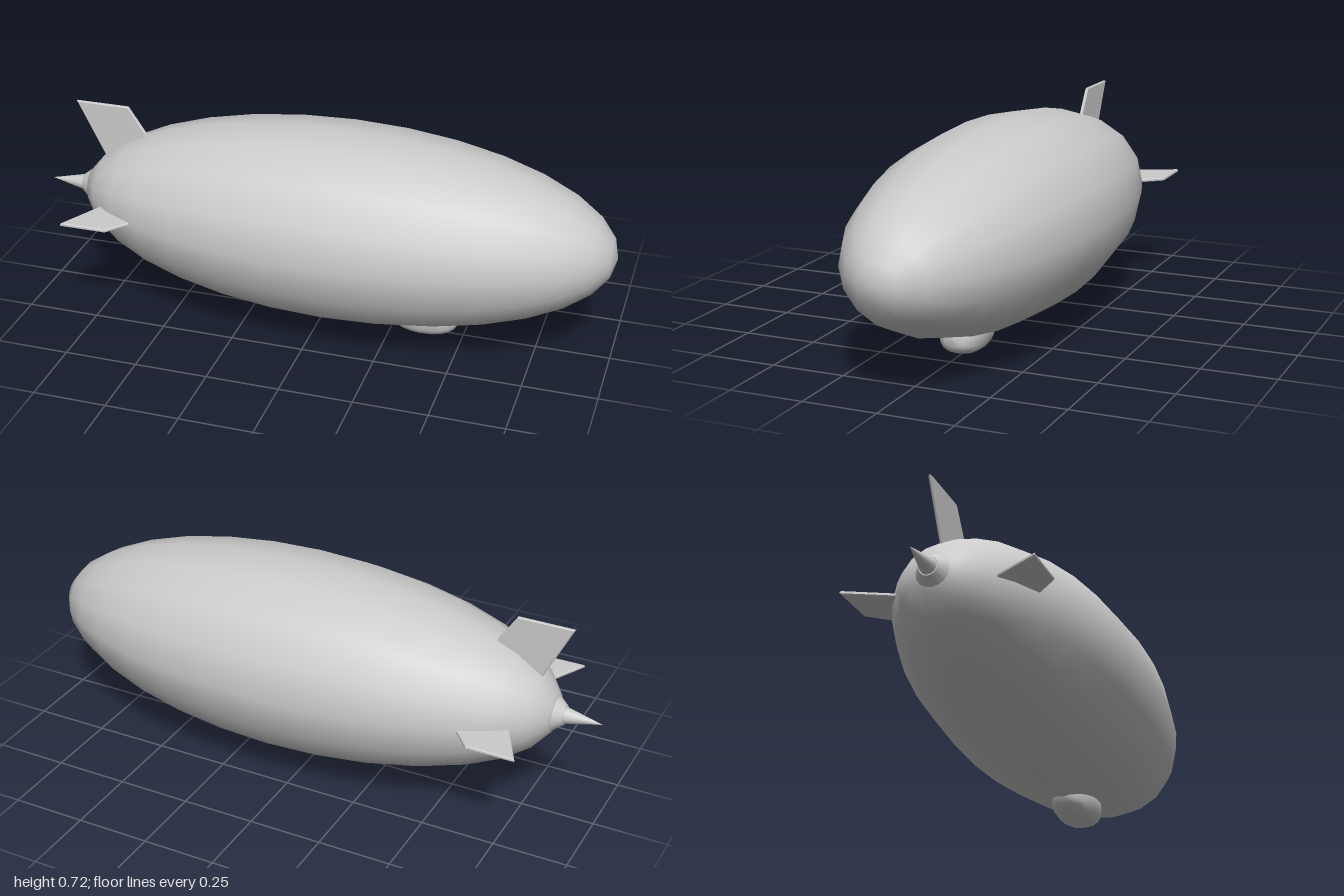
import * as THREE from 'three';

const AXIS_Y = 0.382;

export function createModel() {
  const group = new THREE.Group();
  const smooth = new THREE.MeshStandardMaterial({ color: 0xcccccc });
  const flat = new THREE.MeshStandardMaterial({ color: 0xcccccc, flatShading: true });

  function add(name, geometry, material, x, y) {
    const mesh = new THREE.Mesh(geometry, material);
    mesh.name = name;
    mesh.position.set(x, y, 0);
    group.add(mesh);
    return mesh;
  }

  // Envelope: a 16-sided ellipsoid lying along x, slightly wider than tall
  const hull = new THREE.SphereGeometry(1, 16, 16).rotateZ(-Math.PI / 2);
  hull.scale(0.927, 0.333, 0.37);
  add('envelope', hull, smooth, 0.07, AXIS_Y);

  // Tail cone with a low collar, turned about the x axis
  const collar = new THREE.CylinderGeometry(0.032, 0.056, 0.03, 16).rotateZ(Math.PI / 2);
  add('tailCollar', collar, smooth, -0.861, AXIS_Y);
  const cone = new THREE.ConeGeometry(0.032, 0.14, 16).rotateZ(Math.PI / 2);
  add('tailCone', cone, smooth, -0.93, AXIS_Y);

  // Fins: thin swept plates, outlined as (x, distance from the axis)
  function addFin(name, outline, angle) {
    const shape = new THREE.Shape(outline.map(([x, r]) => new THREE.Vector2(x, r)));
    const plate = new THREE.ExtrudeGeometry(shape, {
      depth: 0.006, bevelEnabled: true, bevelSegments: 1,
      bevelThickness: 0.003, bevelSize: 0.004, bevelOffset: -0.004,
    });
    plate.translate(0, 0, -0.003);
    add(name, plate, flat, 0, AXIS_Y).rotation.x = angle;
  }
  addFin('topFin', [[-0.75, 0.04], [-0.575, 0.13], [-0.695, 0.313], [-0.885, 0.313]], 0);
  const sideFin = [[-0.71, 0.09], [-0.55, 0.185], [-0.665, 0.32], [-0.827, 0.32]];
  addFin('leftSideFin', sideFin, Math.PI / 2);
  addFin('rightSideFin', sideFin, -Math.PI / 2);

  // Gondola: a rounded pod, blunt at the nose and tapering to the rear
  const pod = new THREE.SphereGeometry(1, 16, 12).rotateZ(-Math.PI / 2);
  const p = pod.attributes.position;
  const power = (v, e) => Math.sign(v) * Math.abs(v) ** e;
  for (let i = 0; i < p.count; i++) {
    const x = p.getX(i);
    const r = Math.hypot(p.getY(i), p.getZ(i));
    const fullness = r > 1e-6 ? r ** (x > 0 ? 0.7 : 0.95) / r : 0;
    const cy = r > 1e-6 ? p.getY(i) / r : 0;
    const cz = r > 1e-6 ? p.getZ(i) / r : 0;
    p.setXYZ(i,
      0.125 * (x > 0 ? power(x, 0.8) : x),
      0.069 * r * fullness * power(cy, 0.8),
      0.076 * r * fullness * power(cz, 0.8));
  }
  pod.computeVertexNormals();
  add('gondola', pod, smooth, 0.36, 0.069);

  return group;
}
